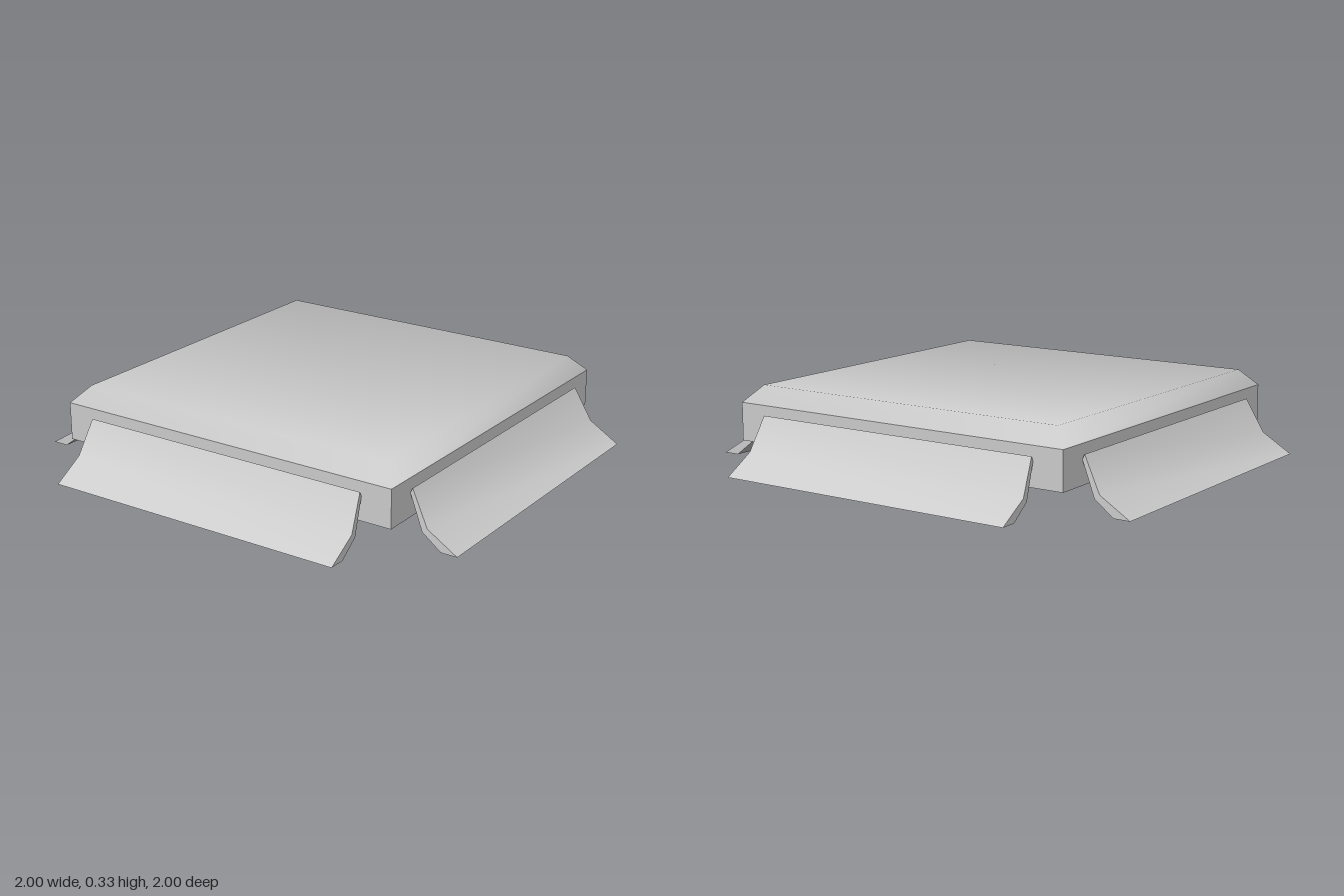
import * as THREE from 'three';
import { toCreasedNormals } from 'three/addons/utils/BufferGeometryUtils.js';

const HALF = 0.785; // half width of the square body

function buildGeometry(positions, index) {
  const geo = new THREE.BufferGeometry();
  geo.setAttribute('position', new THREE.Float32BufferAttribute(positions, 3));
  geo.setIndex(index);
  return geo;
}

// Chamfered lid: two square loops sharing softened normals, so the bevel blends into the top
function lidGeometry() {
  const corners = [[1, 1], [1, -1], [-1, -1], [-1, 1]];
  const rings = [
    { half: HALF, y: 0.26, n: [0.43, 0.8] },
    { half: 0.72, y: 0.33, n: [0.31, 0.9] },
  ];
  const positions = [], normals = [], index = [];
  for (const { half, y, n } of rings) {
    for (const [sx, sz] of corners) {
      positions.push(sx * half, y, sz * half);
      normals.push(...new THREE.Vector3(sx * n[0], n[1], sz * n[0]).normalize().toArray());
    }
  }
  for (let i = 0; i < 4; i++) {
    const j = (i + 1) % 4;
    index.push(i, j, j + 4, i, j + 4, i + 4);
  }
  index.push(4, 5, 6, 4, 6, 7);
  const geo = buildGeometry(positions, index);
  geo.setAttribute('normal', new THREE.Float32BufferAttribute(normals, 3));
  return geo;
}

// Flared skirt facing +z: a bent section swept along x, slightly narrower at the top
function skirtGeometry() {
  // z, y, half width
  const section = [
    [0.795, 0.22, 0.655], [0.87, 0.08, 0.67], [1.0, 0, 0.67],
    [0.93, 0, 0.67], [0.848, 0.062, 0.67], [0.785, 0.2, 0.655],
  ];
  const positions = [], index = [];
  for (const [z, y, w] of section) positions.push(-w, y, z, w, y, z);
  const count = section.length;
  for (let i = 0; i < count; i++) {
    const a = 2 * i, b = 2 * ((i + 1) % count);
    index.push(a, b, b + 1, a, b + 1, a + 1);
  }
  // End caps
  for (const [a, b, c, d] of [[0, 1, 4, 5], [1, 2, 3, 4]]) {
    for (const [p, q, r] of [[a, b, c], [a, c, d]]) {
      index.push(2 * p + 1, 2 * q + 1, 2 * r + 1, 2 * r, 2 * q, 2 * p);
    }
  }
  return toCreasedNormals(buildGeometry(positions, index), 0.58);
}

export function createModel() {
  const model = new THREE.Group();
  model.name = 'skirtedPlate';
  const grey = new THREE.MeshStandardMaterial({ color: 0xcccccc });
  grey.name = 'lightGrey';

  const add = (name, geometry) => {
    const mesh = new THREE.Mesh(geometry, grey);
    mesh.name = name;
    model.add(mesh);
    return mesh;
  };

  // Square body and its bevelled lid
  add('body', new THREE.BoxGeometry(HALF * 2, 0.16, HALF * 2)).position.y = 0.18;
  add('lid', lidGeometry());

  // One skirt on each side
  const skirt = skirtGeometry();
  ['frontSkirt', 'leftSkirt', 'backSkirt', 'rightSkirt'].forEach((name, i) => {
    add(name, skirt).rotation.y = (i * Math.PI) / 2;
  });

  return model;
}
